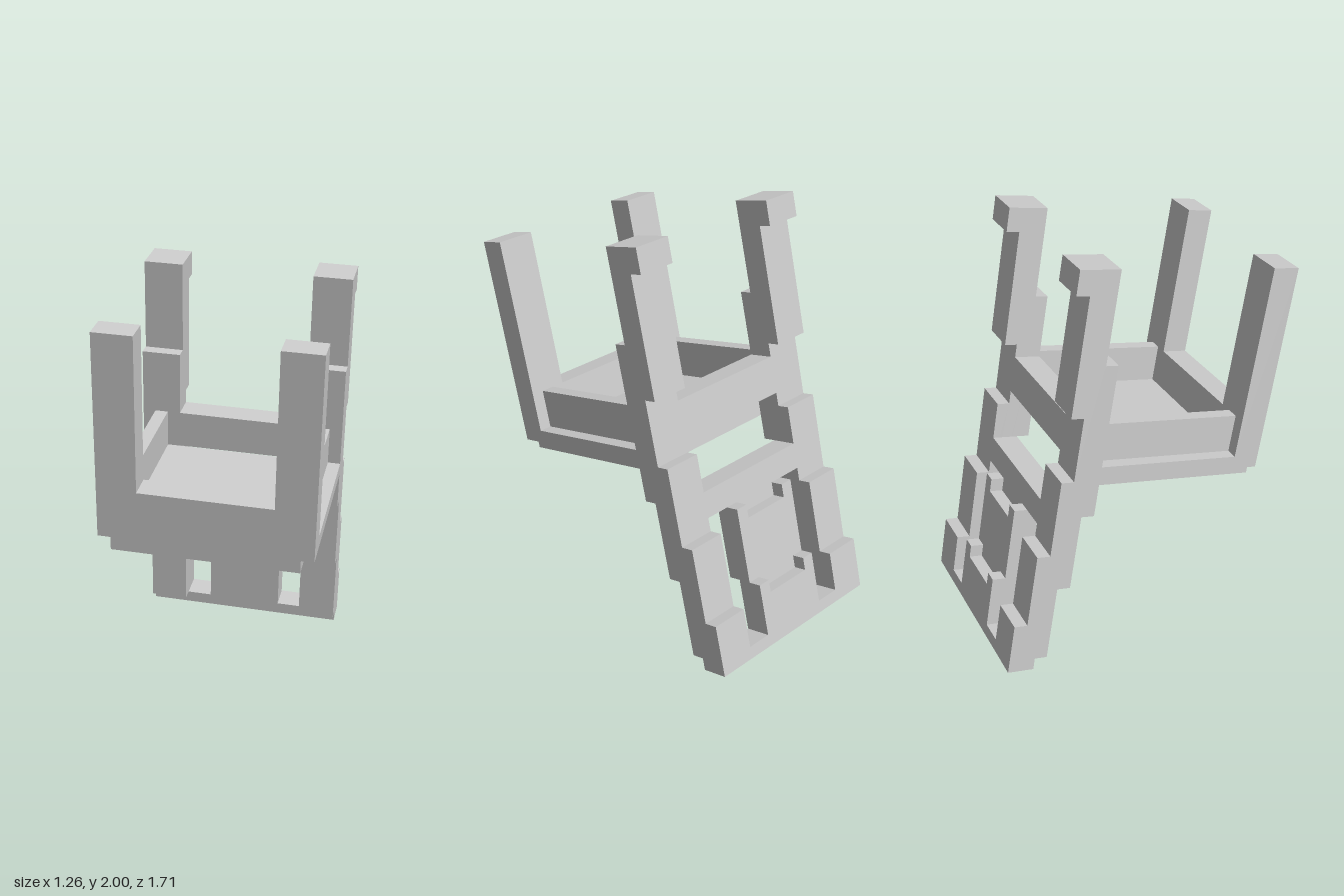
import * as THREE from 'three';

const material = new THREE.MeshStandardMaterial({ color: 0xcccccc, flatShading: true });

// Box given by its ranges along width (x), height (y) and depth (z)
function box(parent, name, [x0, x1], [y0, y1], [z0, z1]) {
  const mesh = new THREE.Mesh(new THREE.BoxGeometry(x1 - x0, y1 - y0, z1 - z0), material);
  mesh.position.set((x0 + x1) / 2, (y0 + y1) / 2, (z0 + z1) / 2);
  mesh.name = name;
  parent.add(mesh);
}

// Side profile of [depth, height] points, extruded across the width
function slice(parent, name, [x0, x1], points) {
  const shape = new THREE.Shape(points.map(([z, y]) => new THREE.Vector2(z, y)));
  const geometry = new THREE.ExtrudeGeometry(shape, { depth: x1 - x0, bevelEnabled: false });
  geometry.rotateY(-Math.PI / 2).translate(x1, 0, 0);
  const mesh = new THREE.Mesh(geometry, material);
  mesh.name = name;
  parent.add(mesh);
}

// The same x range on either side
const sides = (x0, x1) => [[x0, x1], [-x1, -x0]];

export function createModel() {
  const model = new THREE.Group();
  model.name = 'upturnedChair';
  const chair = new THREE.Group();
  chair.name = 'chair';
  model.add(chair);

  // Stepped back posts that run on into the rear legs
  const post = [
    [-0.726, -0.087], [-0.6, -0.087], [-0.6, -0.028], [-0.54, -0.028],
    [-0.54, 0.345], [-0.477, 0.345], [-0.477, 0.717], [-0.415, 0.717],
    [-0.415, 1.453], [-0.475, 1.453], [-0.475, 1.885], [-0.662, 1.885],
    [-0.662, 1.77], [-0.6, 1.77], [-0.6, 1.21], [-0.54, 1.21],
    [-0.54, 0.9], [-0.6, 0.9], [-0.6, 0.527], [-0.663, 0.527],
    [-0.663, 0.165], [-0.726, 0.165],
  ];
  for (const x of sides(0.307, 0.49)) slice(chair, 'backPost', x, post);

  // Rails of the backrest
  const between = [-0.307, 0.307];
  box(chair, 'topRail', between, [-0.087, -0.028], [-0.726, -0.6]);
  box(chair, 'middleRail', between, [0.592, 0.717], [-0.6, -0.477]);
  box(chair, 'seatRail', between, [0.966, 1.145], [-0.54, -0.415]);

  // Stepped centre splat with small corner lugs
  slice(chair, 'splat', [-0.184, 0.184], [
    [-0.726, -0.028], [-0.6, -0.028], [-0.6, 0.285], [-0.54, 0.285],
    [-0.54, 0.592], [-0.6, 0.592], [-0.6, 0.527], [-0.663, 0.527],
    [-0.663, 0.165], [-0.726, 0.165],
  ]);
  for (const x of sides(0.061, 0.184)) box(chair, 'splatFrontLug', x, [0.226, 0.285], [-0.6, -0.54]);
  for (const x of sides(0.122, 0.184)) {
    box(chair, 'splatLowerLug', x, [0.165, 0.226], [-0.726, -0.663]);
    box(chair, 'splatUpperLug', x, [0.527, 0.592], [-0.663, -0.6]);
  }

  // Seat plates and the frame around the underside
  box(chair, 'seatTop', [-0.43, 0.43], [0.839, 0.903], [-0.415, 0.389]);
  box(chair, 'seatPlate', [-0.49, 0.49], [0.903, 0.964], [-0.415, 0.389]);
  box(chair, 'frontApron', between, [0.964, 1.145], [0.265, 0.389]);
  for (const x of sides(0.368, 0.43)) box(chair, 'sideApron', x, [0.964, 1.145], [-0.415, 0.265]);

  // Front legs
  for (const x of sides(0.307, 0.49)) box(chair, 'frontLeg', x, [0.964, 1.885], [0.265, 0.389]);

  // Tilt the whole chair
  const across = new THREE.Vector3(0.958, -0.055, 0.28).normalize();
  const up = new THREE.Vector3(0, 0.981, 0.194).normalize();
  const forward = new THREE.Vector3().crossVectors(across, up).normalize();
  chair.quaternion.setFromRotationMatrix(new THREE.Matrix4().makeBasis(across, up, forward));
  chair.position.copy(across).multiplyScalar(-0.051);
  return model;
}
